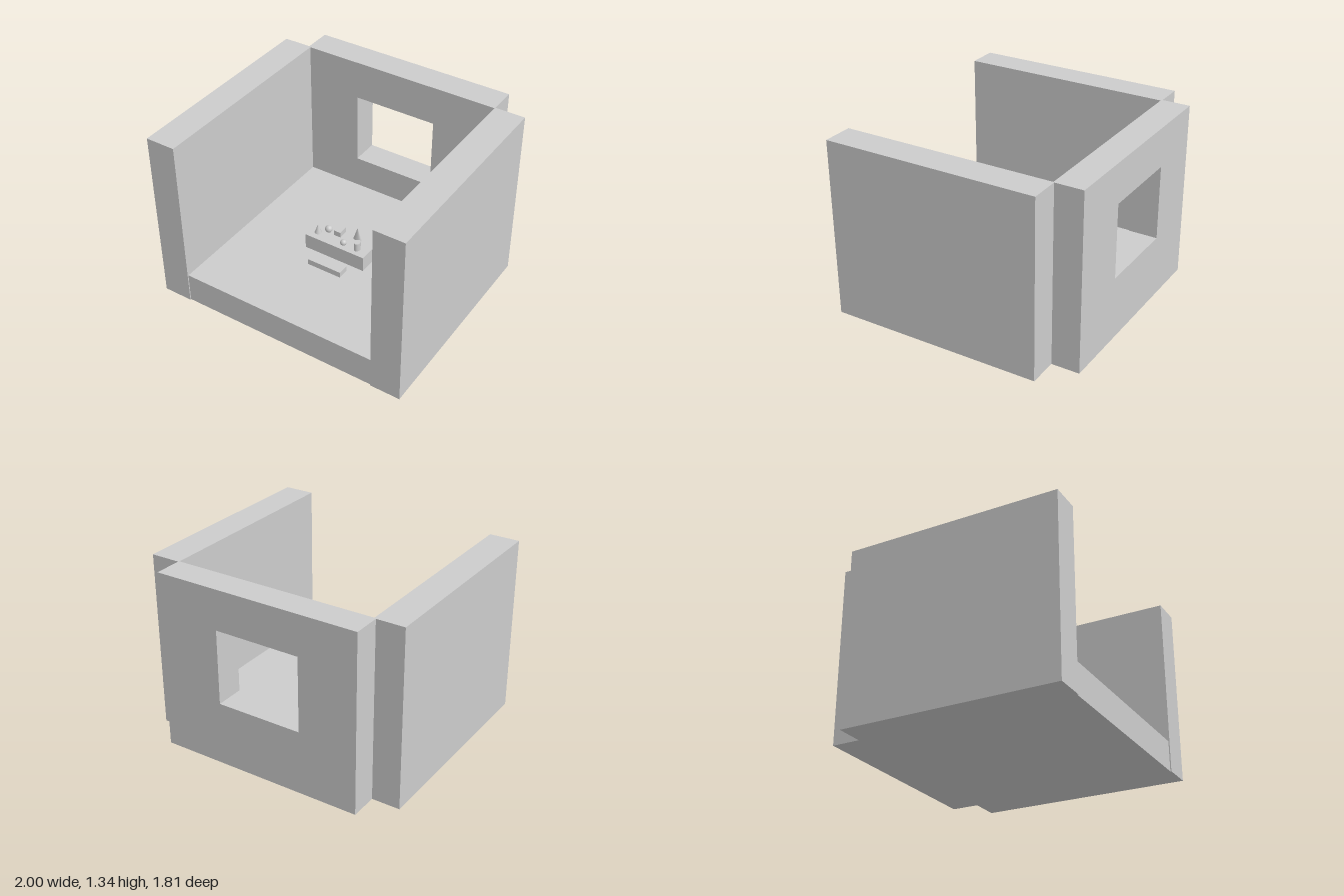
import * as THREE from 'three';

export function createModel() {
  const room = new THREE.Group();
  room.name = 'room';
  const grey = new THREE.MeshStandardMaterial({ color: 0xcccccc });
  grey.name = 'plain grey';

  const add = (name, geometry, parent = room) => {
    const mesh = new THREE.Mesh(geometry, grey);
    mesh.name = name;
    parent.add(mesh);
    return mesh;
  };
  // Box given by its extents along each axis
  const box = (name, [x0, x1], [y0, y1], [z0, z1], parent) =>
    add(name, new THREE.BoxGeometry(x1 - x0, y1 - y0, z1 - z0), parent)
      .position.set((x0 + x1) / 2, (y0 + y1) / 2, (z0 + z1) / 2);
  // Upright cone or cylinder with an elliptical base standing on y
  const upright = (name, topScale, x, y, z, rx, rz, height, parent) => {
    const geometry = topScale === 0
      ? new THREE.ConeGeometry(1, height, 32)
      : new THREE.CylinderGeometry(topScale, 1, height, 32);
    geometry.scale(rx, 1, rz);
    add(name, geometry, parent).position.set(x, y + height / 2, z);
  };
  const ball = (name, x, y, z, r, parent) =>
    add(name, new THREE.SphereGeometry(r, 32, 16), parent).position.set(x, y, z);

  const floorY = 0.23, wallTop = 1.34;

  // Floor slab and side walls
  box('floor', [-0.775, 0.77], [0, floorY], [-0.69, 0.897]);
  box('rightWall', [-1, -0.775], [0, wallTop], [-0.695, 0.905]);
  box('leftWall', [0.77, 1], [0, wallTop], [-0.695, 0.905]);

  // Back wall with window opening
  const wall = new THREE.Shape();
  wall.moveTo(-0.79, 0).lineTo(0.775, 0).lineTo(0.775, wallTop).lineTo(-0.79, wallTop).closePath();
  const opening = new THREE.Path();
  opening.moveTo(-0.35, 0.48).lineTo(-0.35, 1.04).lineTo(0.3, 1.04).lineTo(0.3, 0.48).closePath();
  wall.holes.push(opening);
  add('backWall', new THREE.ExtrudeGeometry(wall, { depth: 0.218, bevelEnabled: false }))
    .position.z = -0.905;

  // Low table with a bench in front
  const tableY = 0.35;
  box('table', [-0.25, 0.25], [floorY, tableY], [-0.05, 0.175]);
  box('bench', [-0.125, 0.15], [floorY, 0.275], [0.235, 0.325]);

  // Small solids on the table
  const items = new THREE.Group();
  items.name = 'tableItems';
  room.add(items);
  upright('smallCone', 0, -0.185, tableY, 0.103, 0.027, 0.027, 0.075, items);
  ball('largeBall', -0.122, 0.378, 0.057, 0.028, items);
  box('block', [-0.07, -0.015], [tableY, 0.392], [-0.007, 0.067], items);
  ball('smallBall', 0.055, 0.38, 0.132, 0.024, items);
  upright('flatCone', 0, 0.103, tableY, 0.017, 0.035, 0.015, 0.107, items);
  upright('cylinder', 1, 0.16, tableY, 0.11, 0.023, 0.029, 0.064, items);

  // Potted conical tree in the back corner
  const tree = new THREE.Group();
  tree.name = 'pottedTree';
  room.add(tree);
  box('pot', [0.577, 0.723], [floorY, 0.333], [-0.632, -0.467], tree);
  upright('foliage', 0, 0.653, 0.333, -0.55, 0.074, 0.08, 0.335, tree);

  return room;
}
